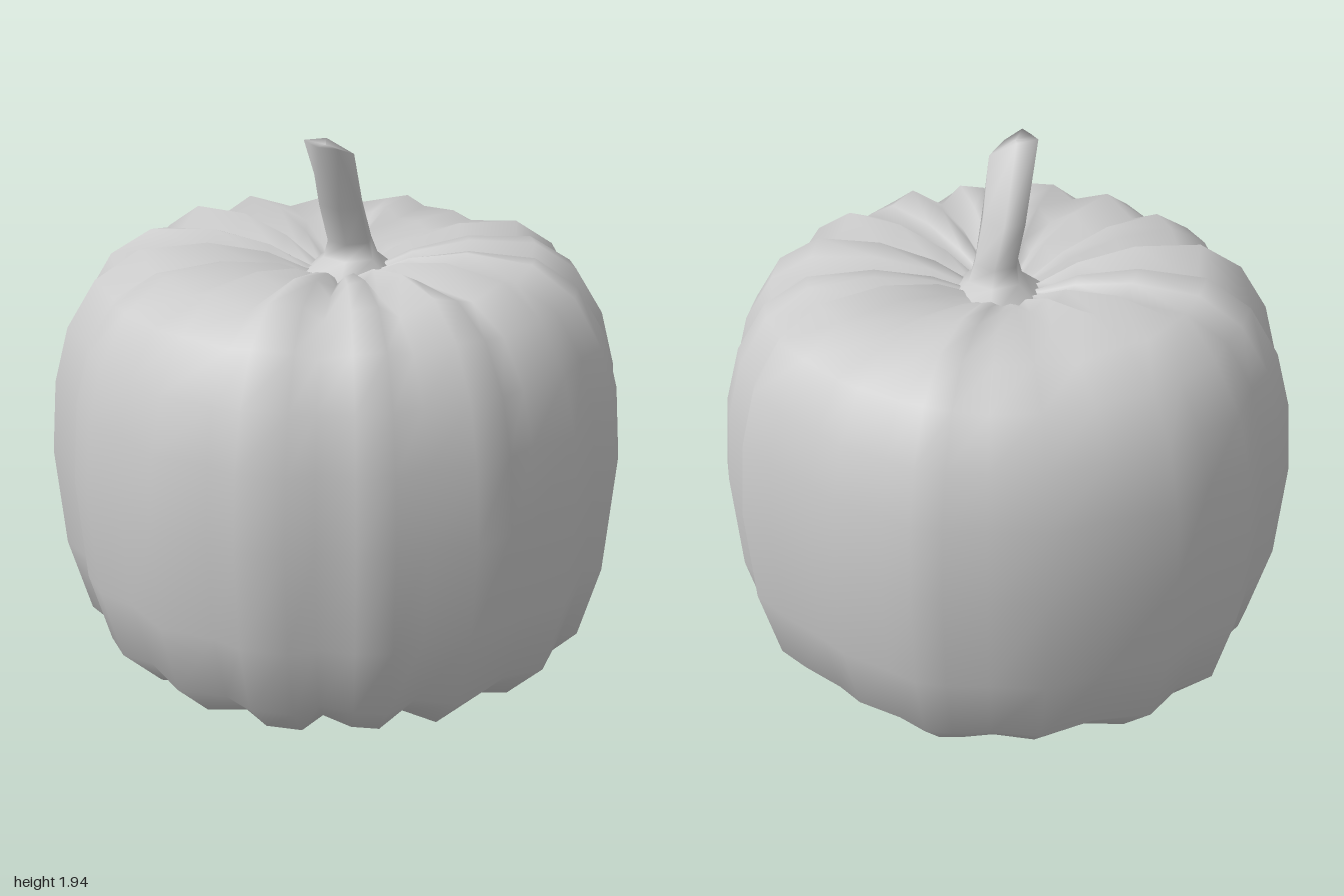
import * as THREE from 'three';

// Skin a stack of closed rings (each an array of [x, y, z]) with smooth normals.
function loft(rings) {
  const n = rings[0].length, index = [];
  for (let i = 0; i < rings.length - 1; i++) {
    for (let j = 0; j < n; j++) {
      const a = i * n + j, b = i * n + (j + 1) % n;
      index.push(a, a + n, b, b, a + n, b + n);
    }
  }
  const geo = new THREE.BufferGeometry();
  geo.setAttribute('position', new THREE.Float32BufferAttribute(rings.flat(2), 3));
  geo.setIndex(index);
  geo.computeVertexNormals();
  return geo;
}

// Uneven ribbed outline of the body at its widest, as x, z pairs
const OUTLINE = [
  [-0.17, -1], [0.05, -0.96], [0.27, -0.95], [0.44, -0.86], [0.57, -0.8], [0.66, -0.74],
  [0.72, -0.64], [0.83, -0.49], [0.87, -0.38], [0.95, -0.2], [1, -0.05], [0.96, 0.05],
  [0.98, 0.17], [0.95, 0.29], [0.89, 0.37], [0.85, 0.51], [0.76, 0.66], [0.66, 0.7],
  [0.51, 0.87], [0.34, 0.9], [0.24, 0.95], [0.1, 1], [-0.05, 0.95], [-0.17, 0.98],
  [-0.29, 0.94], [-0.4, 0.87], [-0.5, 0.87], [-0.64, 0.78], [-0.7, 0.68], [-0.85, 0.55],
  [-0.9, 0.35], [-0.98, 0.22], [-0.99, 0.08], [-0.96, -0.06], [-1, -0.22], [-0.86, -0.44],
  [-0.85, -0.56], [-0.75, -0.66], [-0.65, -0.72], [-0.5, -0.89], [-0.33, -0.92],
];

// Depth of each outline point below its neighbours: positive in grooves, negative on ribs
const radius = (j) => Math.hypot(...OUTLINE.at(j % OUTLINE.length));
const GROOVES = OUTLINE.map((_, j) => THREE.MathUtils.clamp(
  (radius(j - 2) + radius(j - 1) + radius(j + 1) + radius(j + 2)) / 4 - radius(j), -0.03, 0.04));

// Body profile: scale of the outline, height, and how far grooves sink vertically
const PROFILE = [
  [0.001, 0.14, 0], [0.15, 0.11, 0.3], [0.38, 0.05, 0.7], [0.6, 0.025, 0.8], [0.75, 0.065, 0.7],
  [0.895, 0.2, 0.3], [0.97, 0.46, 0], [1, 0.82, 0], [0.98, 1.08, 0], [0.93, 1.27, -0.2],
  [0.83, 1.43, -0.5], [0.68, 1.52, -0.9], [0.45, 1.53, -1.1], [0.25, 1.495, -0.9],
  [0.12, 1.45, -0.3], [0.001, 1.43, 0],
];

export function createModel() {
  const group = new THREE.Group();
  const material = new THREE.MeshStandardMaterial({ color: 0xcccccc });
  const add = (name, geo) => {
    const mesh = new THREE.Mesh(geo, material);
    mesh.name = name;
    group.add(mesh);
  };

  // Ribbed body, dimpled at both ends
  add('pumpkinBody', loft(PROFILE.map(([s, y, sink]) =>
    OUTLINE.map(([x, z], j) => [x * s, y + sink * GROOVES[j], z * s]))));

  // Leaning six-sided stem with a flared foot: centre x, y, z, half widths in x and z
  const stem = [
    [0.03, 1.42, 0, 0.2, 0.19], [0.035, 1.5, 0, 0.1, 0.1],
    [0.03, 1.56, 0.005, 0.08, 0.09], [-0.015, 1.7, 0.04, 0.078, 0.105],
  ].map(([x, y, z, rx, rz]) => Array.from({ length: 6 }, (_, i) => {
    const a = i * Math.PI / 3;
    return [x + rx * Math.cos(a), y, z + rz * Math.sin(a)];
  }));

  // Slanted, flattened cut at the tip, closed at its middle
  const tip = [
    [0, 1.89, 0.13], [-0.07, 1.92, 0.165], [-0.15, 1.94, 0.19],
    [-0.158, 1.94, 0.13], [-0.16, 1.94, 0.08], [-0.08, 1.94, 0.08],
  ];
  add('stem', loft([...stem, tip, tip.map(() => [-0.1, 1.93, 0.13])]));

  return group;
}
